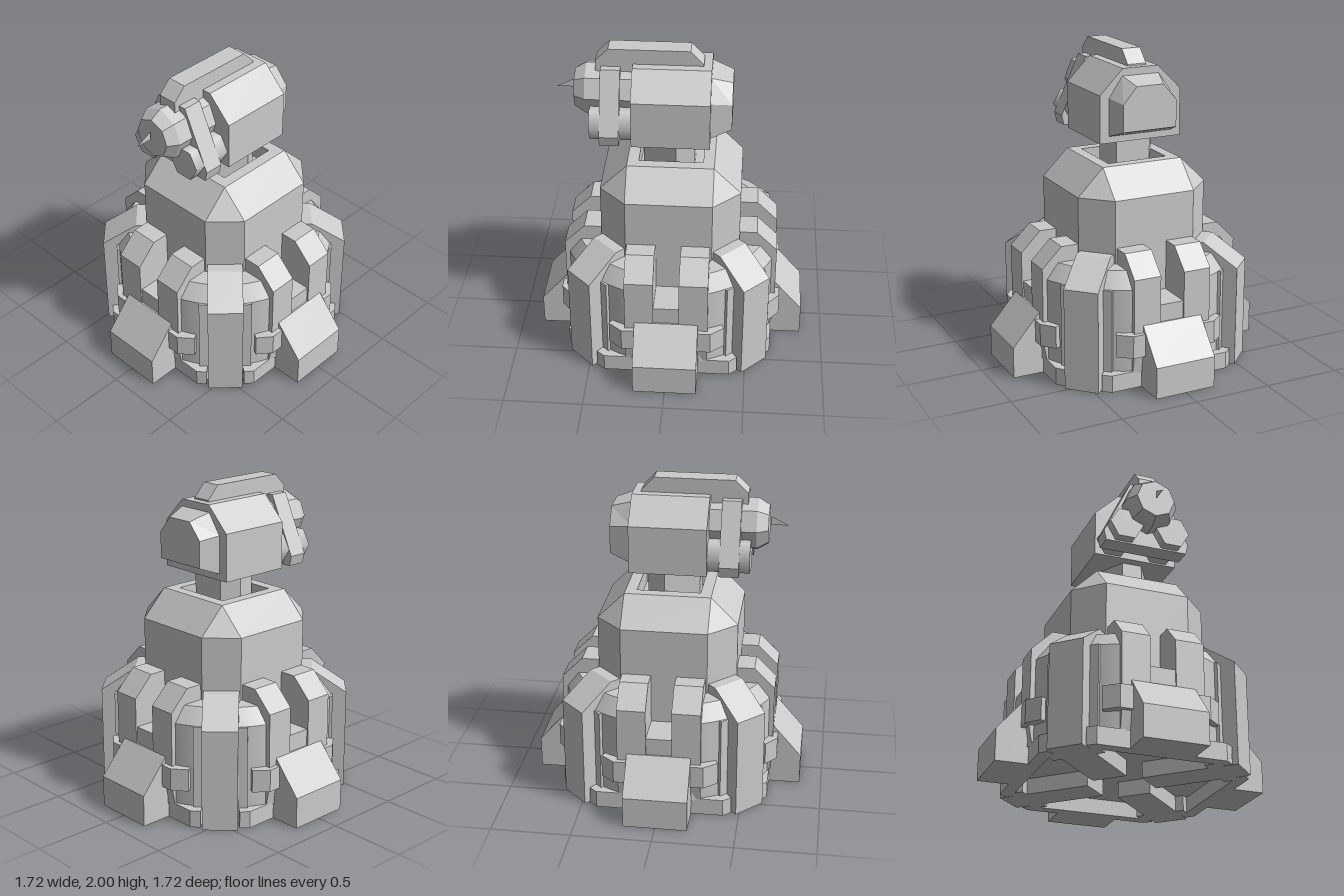
import * as THREE from 'three';
import { toCreasedNormals } from 'three/addons/utils/BufferGeometryUtils.js';

const grey = new THREE.MeshStandardMaterial({ color: 0xcccccc, flatShading: true });
const smooth = new THREE.MeshStandardMaterial({ color: 0xcccccc, side: THREE.DoubleSide });

function add(parent, name, geometry, material = grey) {
  const mesh = new THREE.Mesh(geometry, material);
  mesh.name = name;
  parent.add(mesh);
  return mesh;
}

// Extrude a 2D outline, centred on its depth
function slab(points, depth) {
  const shape = new THREE.Shape(points.map(([x, y]) => new THREE.Vector2(x, y)));
  return new THREE.ExtrudeGeometry(shape, { depth, bevelEnabled: false }).translate(0, 0, -depth / 2);
}

// Radial profile [distance outward, height], pointing to +z with its width along x
const radial = (points, width) => slab(points, width).rotateY(-Math.PI / 2);

// Horizontal plate from an [x, z] outline, between two heights
const plate = (points, y0, y1) =>
  slab(points.map(([x, z]) => [x, -z]), y1 - y0).rotateX(-Math.PI / 2).translate(0, (y0 + y1) / 2, 0);

// Mirror an outline across x = 0 to close it
const mirrored = (half) => [...half, ...half.map(([x, y]) => [-x, y]).reverse()];

// Skin a series of equal-length loops and close the last with a fan
function loft(loops) {
  const pos = [];
  const tri = (a, b, c) => pos.push(...a, ...b, ...c);
  for (let k = 0; k + 1 < loops.length; k++) {
    const a = loops[k], b = loops[k + 1], n = a.length;
    for (let i = 0; i < n; i++) {
      const j = (i + 1) % n;
      tri(a[i], a[j], b[j]);
      tri(a[i], b[j], b[i]);
    }
  }
  const end = loops[loops.length - 1];
  for (let i = 1; i + 1 < end.length; i++) tri(end[0], end[i], end[i + 1]);
  const g = new THREE.BufferGeometry();
  g.setAttribute('position', new THREE.Float32BufferAttribute(pos, 3));
  g.computeVertexNormals();
  return g;
}

// Square with cut corners: h = half width, f = half length of the flat
const cutSquare = (h, f, y) =>
  [[-f, h], [f, h], [h, f], [h, -f], [f, -h], [-f, -h], [-h, -f], [-h, f]].map(([x, z]) => [x, y, z]);

// Prism along z with different radii at back and front
const barrel = (sides, rBack, rFront, z0, z1, turn = 0) =>
  new THREE.CylinderGeometry(rFront, rBack, z1 - z0, sides)
    .rotateY(turn).rotateX(Math.PI / 2).translate(0, 0, (z0 + z1) / 2);

function buildBase() {
  const base = new THREE.Group();
  base.name = 'base';

  // Raised floor under the drum
  add(base, 'floor', new THREE.CylinderGeometry(0.66, 0.66, 0.04, 24).translate(0, 0.12, 0));

  for (let i = 0; i < 4; i++) {
    const side = new THREE.Group();
    side.name = 'baseSide';
    side.rotation.y = i * Math.PI / 2;
    base.add(side);

    // Sloped foot, step above it, paired ribs
    add(side, 'foot', radial([[0.66, 0], [0.86, 0], [0.86, 0.2], [0.68, 0.41], [0.66, 0.41]], 0.4));
    add(side, 'step', new THREE.BoxGeometry(0.18, 0.32, 0.25).translate(0, 0.36, 0.545));
    for (const s of [-1, 1]) {
      const rib = radial([[0.4, 0.11], [0.66, 0.11], [0.68, 0.22], [0.68, 0.71], [0.55, 0.84], [0.4, 0.84]], 0.18);
      add(side, 'rib', rib.translate(s * 0.17, 0, 0));
    }

    // Bands at the bottom and part way up
    add(side, 'bottomRing', plate(mirrored([[0.42, 0.58], [0.45, 0.62], [0.4, 0.66]]), 0, 0.11));
    add(side, 'clamp', plate(mirrored([[0.2, 0.5], [0.3, 0.53], [0.365, 0.64], [0.28, 0.71]]), 0.22, 0.365));

    // Diagonal pillar with a backing plate, a beam below and a curved drum wall behind
    const corner = new THREE.Group();
    corner.name = 'baseCorner';
    corner.rotation.y = Math.PI / 4;
    side.add(corner);
    add(corner, 'pillar', radial([[0.4, 0.1], [0.66, 0.1], [0.66, 0], [0.79, 0], [0.79, 0.65], [0.57, 0.8], [0.4, 0.8]], 0.22));
    add(corner, 'pillarBacking', new THREE.BoxGeometry(0.33, 0.64, 0.1).translate(0, 0.32, 0.65));
    add(corner, 'beam', new THREE.BoxGeometry(0.22, 0.1, 0.5).translate(0, 0.05, 0.43));
    const wall = [[0.7, 0.1], [0.7, 0.64], [0.63, 0.74], [0.4, 0.74]].map(([r, y]) => new THREE.Vector2(r, y));
    const arc = 0.98;
    add(corner, 'drumWall', toCreasedNormals(new THREE.LatheGeometry(wall, 12, -arc / 2, arc), 0.5), smooth);
  }
  return base;
}

function buildHead() {
  const head = new THREE.Group();
  head.name = 'head';

  // Housing with a tapered back
  add(head, 'housing', slab(mirrored([[0.275, 1.45], [0.275, 1.75], [0.12, 1.905]]), 0.48));
  const back = (w, t, y0, y1, y2, z) =>
    [[-w, y0], [-w, y1], [-t, y2], [t, y2], [w, y1], [w, y0]].map(([x, y]) => [x, y, z]);
  add(head, 'housingBack', loft([
    back(0.215, 0.125, 1.49, 1.73, 1.86, -0.235),
    back(0.18, 0.09, 1.54, 1.71, 1.815, -0.37),
  ]));

  // Top fin
  add(head, 'fin', radial([[-0.19, 1.88], [0.24, 1.85], [0.47, 1.85], [0.47, 1.92], [0.39, 2], [-0.11, 2], [-0.19, 1.915]], 0.125));

  // Main barrel with a chamfered nose and a small sight
  add(head, 'mainBarrel', barrel(8, 0.168, 0.168, 0.2, 0.53)).position.y = 1.71;
  add(head, 'barrelNose', barrel(8, 0.168, 0.125, 0.53, 0.6)).position.y = 1.71;
  const sight = new THREE.ShapeGeometry(new THREE.Shape([
    new THREE.Vector2(0.61, 1.705), new THREE.Vector2(0.72, 1.705), new THREE.Vector2(0.61, 1.76),
  ])).rotateY(-Math.PI / 2);
  add(head, 'sight', sight, smooth);

  // Lower barrels and the plate that holds all three
  for (const s of [-1, 1]) {
    const lower = barrel(6, 0.11, 0.11, 0.2, 0.5, Math.PI / 2);
    add(head, 'lowerBarrel', lower, smooth).position.set(s * 0.155, 1.555, 0);
  }
  add(head, 'barrelPlate', slab(mirrored([[0.27, 1.45], [0.285, 1.515], [0.11, 1.885]]), 0.12).translate(0, 0, 0.375));
  return head;
}

export function createModel() {
  const model = new THREE.Group();
  model.name = 'turret';
  model.add(buildBase());

  // Tower with bevelled shoulders and a square recess on top
  add(model, 'tower', loft([
    cutSquare(0.44, 0.27, 0.1),
    cutSquare(0.44, 0.27, 1.14),
    cutSquare(0.27, 0.27, 1.31),
    cutSquare(0.2, 0.2, 1.31),
    cutSquare(0.2, 0.2, 1.2),
  ]));

  // Six-sided neck
  add(model, 'neck', plate(mirrored([[0.115, -0.14], [0.18, -0.03], [0.065, 0.18]]), 1.18, 1.47));

  model.add(buildHead());
  return model;
}
